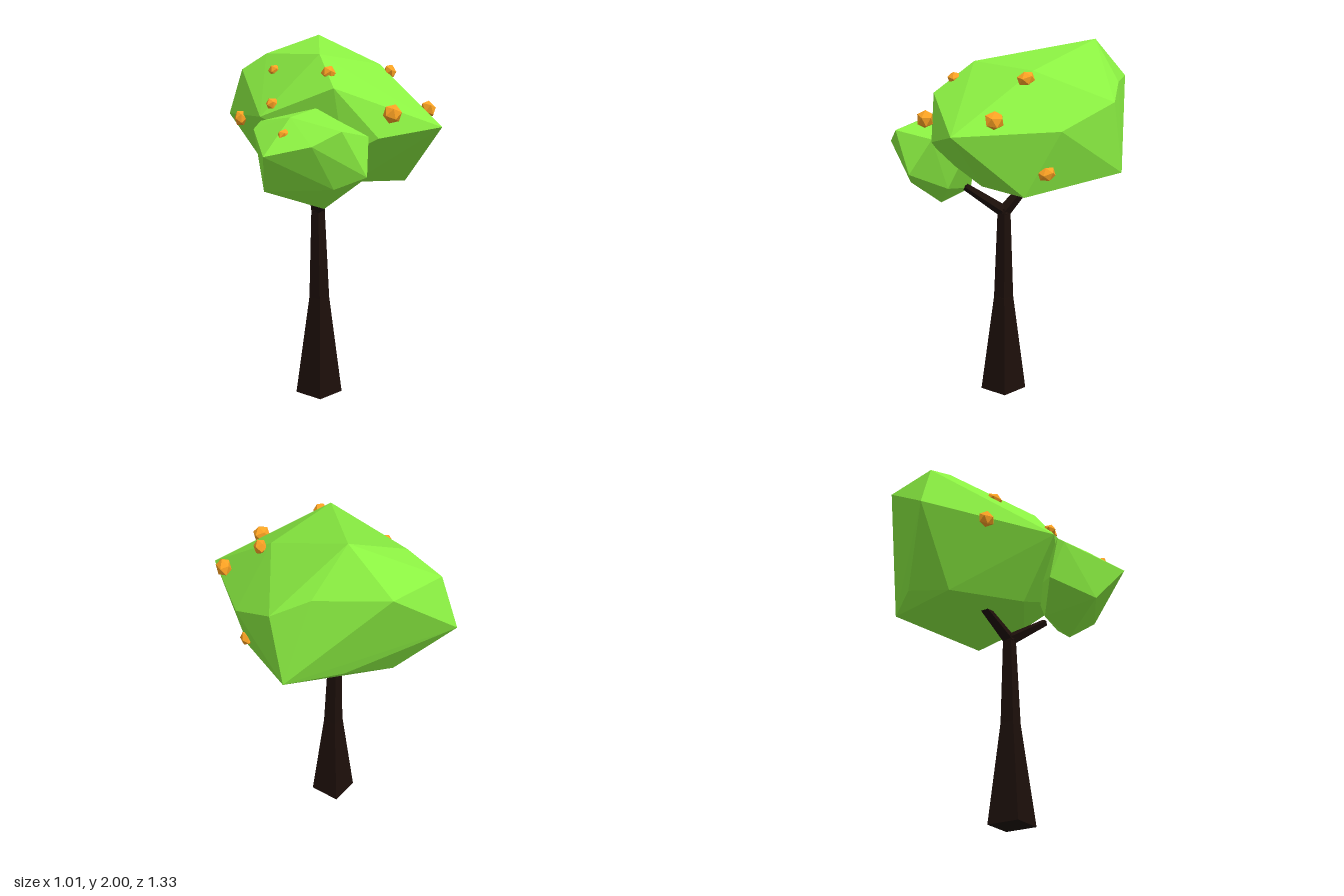
import * as THREE from 'three';
import { ConvexGeometry } from 'three/addons/geometries/ConvexGeometry.js';

const material = (color) => new THREE.MeshStandardMaterial({ color, flatShading: true });
const V = (p) => new THREE.Vector3(...p);

export function createModel() {
  const tree = new THREE.Group();
  const bark = material(0x1c0f0a);
  const leaf = material(0x8bf042);
  const orange = material(0xffa424);

  function add(name, geometry, mat, parent = tree) {
    const mesh = new THREE.Mesh(geometry, mat);
    mesh.name = name;
    parent.add(mesh);
    return mesh;
  }

  // Tapered four-sided limb between two points, with a slight twist
  function limb(name, a, b, rA, rB) {
    const from = V(a), to = V(b);
    const dir = to.clone().sub(from);
    const geometry = new THREE.CylinderGeometry(rB, rA, dir.length(), 4, 1, false, -0.17);
    const mesh = add(name, geometry, bark);
    mesh.position.copy(from).add(to).multiplyScalar(0.5);
    mesh.quaternion.setFromUnitVectors(new THREE.Vector3(0, 1, 0), dir.normalize());
  }

  // Trunk flaring toward the ground, forked at the top
  limb('lowerTrunk', [-0.093, 0, 0.057], [-0.09, 0.55, 0.055], 0.128, 0.055);
  limb('upperTrunk', [-0.09, 0.55, 0.055], [-0.095, 1.06, 0.05], 0.055, 0.036);
  limb('frontBranch', [-0.095, 1.035, 0.04], [-0.095, 1.19, 0.27], 0.036, 0.021);
  limb('backBranch', [-0.095, 1.03, 0.06], [-0.095, 1.27, -0.15], 0.038, 0.024);

  // Large faceted crown, leaning up toward the back
  add('mainCrown', new ConvexGeometry([
    [0.02, 2.0, -0.44], [-0.12, 1.8, -0.67], [-0.42, 1.8, -0.54], [-0.3, 1.89, -0.39],
    [-0.49, 1.54, -0.61], [0.22, 1.77, -0.505], [0.4, 1.67, -0.42], [0.36, 1.3, -0.48],
    [0.05, 1.31, -0.5], [-0.27, 1.18, -0.37], [0.27, 1.83, -0.02], [0.49, 1.53, -0.11],
    [0.47, 1.51, 0.45], [0.12, 1.46, 0.49], [-0.1, 1.71, 0.44], [-0.12, 1.88, 0.21],
    [-0.43, 1.56, 0.18], [0.4, 1.19, 0.06], [0.06, 1.21, 0.21], [-0.23, 1.22, 0.08],
    [-0.04, 1.37, 0.41],
  ].map(V)), leaf);

  // Small crown on the front branch
  add('smallCrown', new ConvexGeometry([
    [-0.26, 1.44, 0.66], [-0.11, 1.51, 0.65], [0.07, 1.47, 0.48], [-0.48, 1.39, 0.58],
    [0.03, 1.28, 0.6], [-0.14, 1.1, 0.4], [-0.45, 1.2, 0.41], [-0.13, 1.22, 0.57],
    [-0.43, 1.54, 0.2], [-0.32, 1.57, 0.44], [-0.17, 1.61, 0.36], [-0.47, 1.5, 0.22],
    [-0.03, 1.19, 0.38], [-0.2, 1.17, 0.22], [0, 1.45, 0.25], [-0.42, 1.29, 0.15],
  ].map(V)), leaf);

  // Angular fruit dotted over the foliage: position, then size on each axis
  const fruit = new THREE.Group();
  fruit.name = 'fruit';
  tree.add(fruit);
  const fruitGeometry = new THREE.IcosahedronGeometry(1, 0);
  [
    [-0.475, 1.53, -0.24, 0.036, 0.046, 0.046],
    [-0.3, 1.795, -0.12, 0.032, 0.034, 0.052],
    [0.315, 1.79, 0.03, 0.034, 0.04, 0.05],
    [0.467, 1.59, 0.23, 0.04, 0.05, 0.054],
    [-0.365, 1.625, 0.185, 0.036, 0.034, 0.038],
    [-0.1, 1.785, 0.325, 0.038, 0.04, 0.04],
    [0.178, 1.585, 0.53, 0.05, 0.05, 0.046],
    [-0.365, 1.488, 0.505, 0.034, 0.03, 0.03],
    [0.43, 1.313, -0.05, 0.034, 0.04, 0.05],
  ].forEach(([x, y, z, ...size], i) => {
    const mesh = add('fruit' + (i + 1), fruitGeometry, orange, fruit);
    mesh.position.set(x, y, z);
    mesh.rotation.set(i % 3 * 0.15, i % 2 * 0.2, i % 4 * 0.1);
    mesh.scale.set(...size);
  });

  return tree;
}
